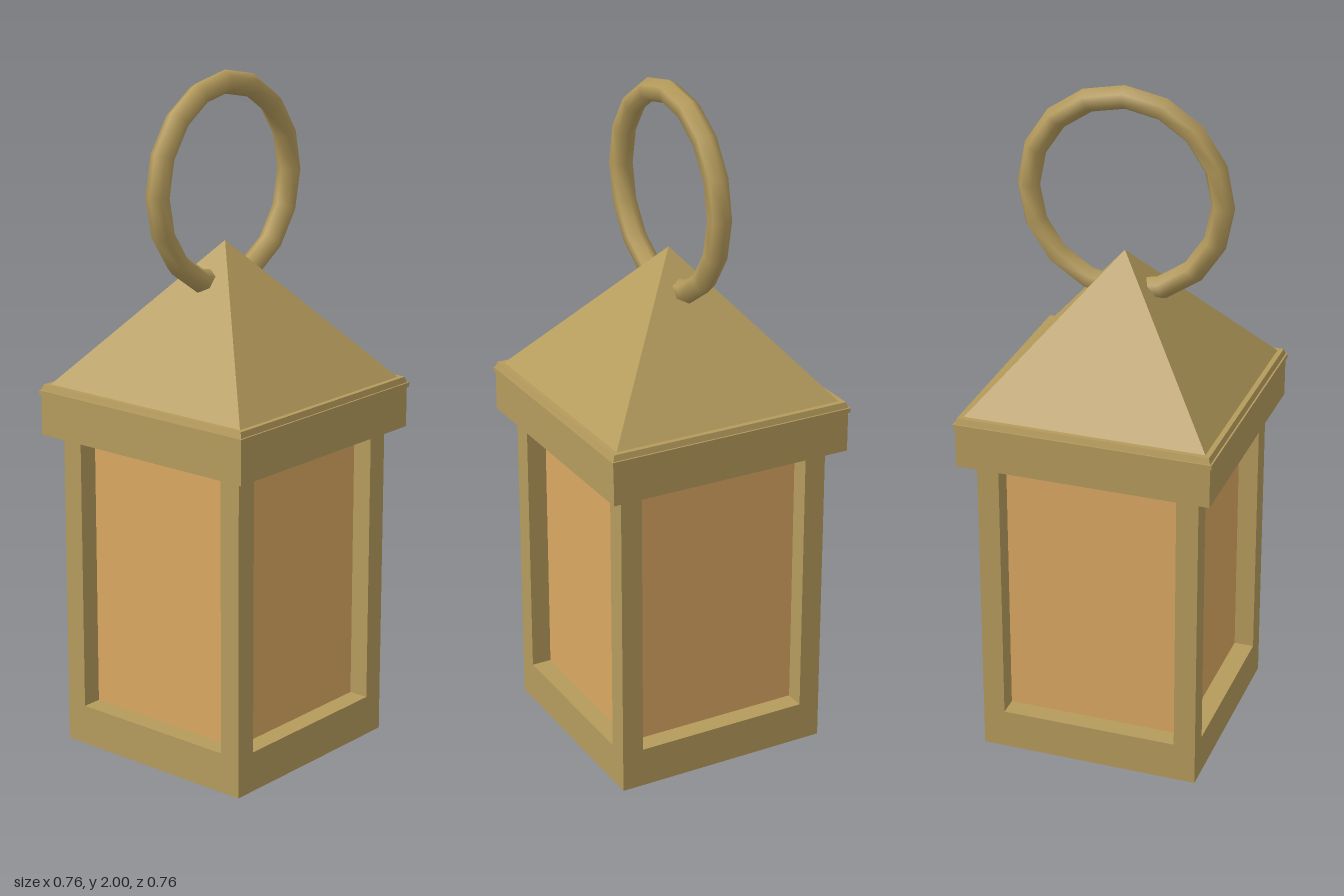
import * as THREE from 'three';

export function createModel() {
  const lantern = new THREE.Group();
  lantern.name = 'lantern';
  const brass = new THREE.MeshStandardMaterial({ color: 0xb59b5c });
  brass.name = 'aged brass';
  const amber = new THREE.MeshStandardMaterial({ color: 0xdaa862 });
  amber.name = 'amber glass';

  const add = (name, geometry, material, x, y, z) => {
    const mesh = new THREE.Mesh(geometry, material);
    mesh.name = name;
    mesh.position.set(x, y, z);
    lantern.add(mesh);
    return mesh;
  };
  // Box of square plan standing between two heights
  const block = (name, width, y0, y1, material, x = 0, z = 0) =>
    add(name, new THREE.BoxGeometry(width, y1 - y0, width), material, x, (y0 + y1) / 2, z);
  // Square frustum with flat sides, given half widths at bottom and top
  const frustum = (name, bottom, top, y0, y1) => {
    const g = new THREE.CylinderGeometry(top * Math.SQRT2, bottom * Math.SQRT2, y1 - y0, 4)
      .rotateY(Math.PI / 4).toNonIndexed();
    g.computeVertexNormals();
    return add(name, g, brass, 0, (y0 + y1) / 2, 0);
  };

  // Body: base, glass with a gap above it, corner posts
  block('base', 0.66, 0, 0.12, brass);
  block('glass', 0.54, 0.12, 0.92, amber);
  for (const x of [-1, 1]) for (const z of [-1, 1])
    block('cornerPost', 0.065, 0.12, 0.95, brass, x * 0.2975, z * 0.2975);

  // Cap with a thin lip, then the pyramid roof
  block('cap', 0.75, 0.95, 1.07, brass);
  block('lip', 0.76, 1.07, 1.083, brass);
  frustum('lipBevel', 0.375, 0.37, 1.083, 1.1);
  frustum('roof', 0.355, 0, 1.1, 1.515);

  // Carrying ring through the peak
  add('ring', new THREE.TorusGeometry(0.286, 0.034, 6, 16), brass, 0, 1.68, 0);

  return lantern;
}
